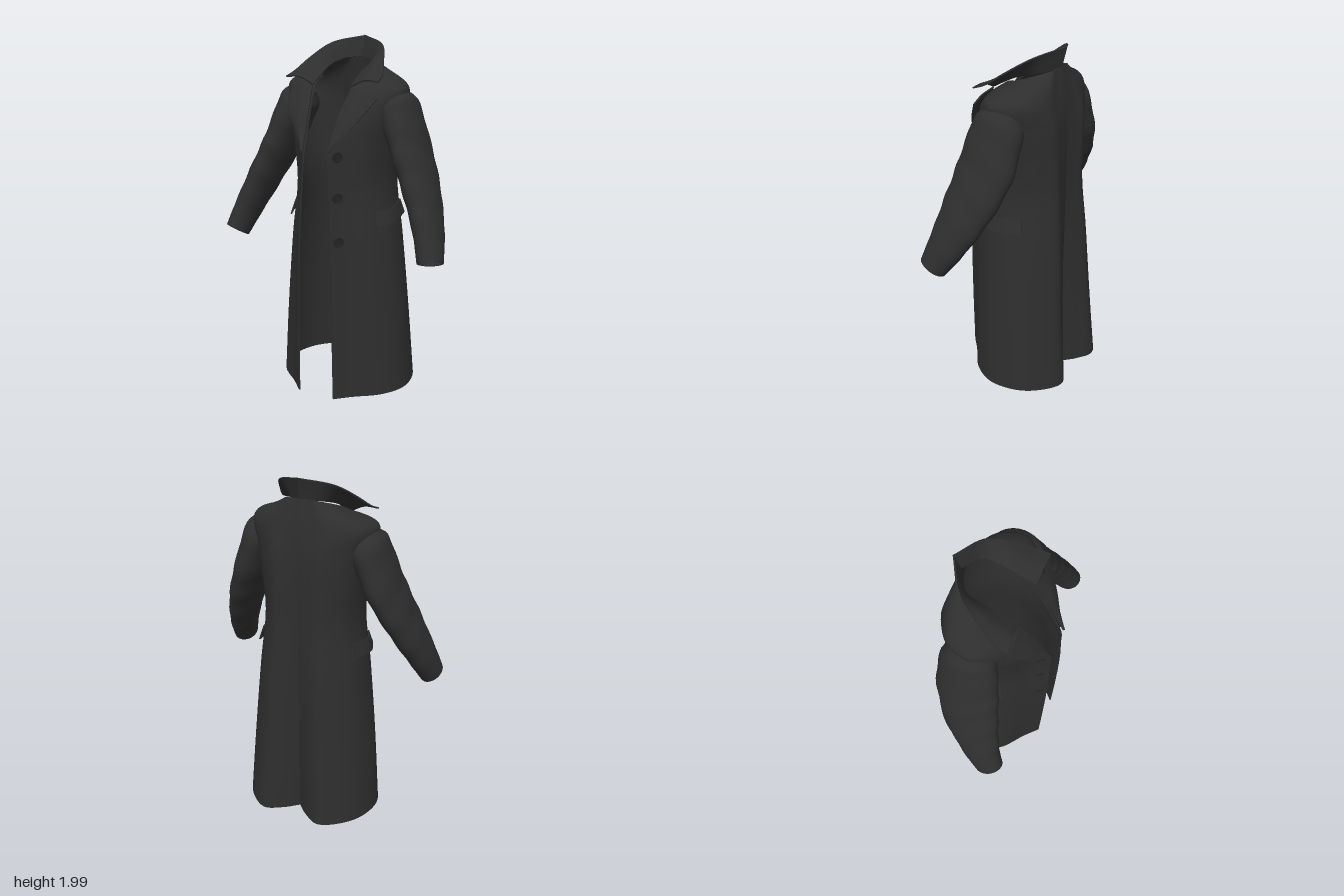
import * as THREE from 'three';
import { mergeGeometries } from 'three/addons/utils/BufferGeometryUtils.js';

const cloth = new THREE.MeshStandardMaterial({ color: 0x2e2e2e, side: THREE.DoubleSide });
cloth.name = 'charcoal cloth';
const horn = new THREE.MeshStandardMaterial({ color: 0x242424 });
horn.name = 'dark horn';

const V = (x, y, z) => new THREE.Vector3(x, y, z);

// Spline through a list of points, resampled to n + 1 points
const resample = (pts, n) => new THREE.CatmullRomCurve3(pts).getPoints(n);

// Smooth grid through control rows
function smoothGrid(rows, nu, nv) {
  const wide = rows.map((r) => resample(r, nu));
  const cols = wide[0].map((_, i) => resample(wide.map((r) => r[i]), nv));
  return Array.from({ length: nv + 1 }, (_, j) => cols.map((c) => c[j]));
}

// Indexed surface over a grid of points
function surface(grid, flip = false) {
  const w = grid[0].length;
  const index = [];
  for (let j = 0; j < grid.length - 1; j++) {
    for (let i = 0; i < w - 1; i++) {
      const a = j * w + i, b = a + 1, c = a + w + 1, d = a + w;
      index.push(...(flip ? [a, c, b, a, d, c] : [a, b, c, a, c, d]));
    }
  }
  const g = new THREE.BufferGeometry().setFromPoints(grid.flat());
  g.setIndex(index);
  g.computeVertexNormals();
  return g;
}

// Cloth of a given thickness: outer face, inner face and the edges between
function clothGeometry(grid, thick) {
  const outer = surface(grid);
  const n = outer.attributes.normal;
  const w = grid[0].length, h = grid.length;
  const back = grid.map((row, j) => row.map((p, i) =>
    p.clone().addScaledVector(V().fromBufferAttribute(n, j * w + i), -thick)));
  const column = (g, i) => g.map((r) => r[i]);
  return mergeGeometries([
    outer, surface(back, true),
    surface([back[0], grid[0]]), surface([grid[h - 1], back[h - 1]]),
    surface([column(grid, 0), column(back, 0)]),
    surface([column(back, w - 1), column(grid, w - 1)]),
  ]);
}

// Mesh from control rows of points; side -1 mirrors it in x
function clothMesh(name, rows, side, nu, nv) {
  const pts = rows.map((r) => {
    const line = r.map((p) => V(p.x * side, p.y, p.z));
    return side < 0 ? line.reverse() : line;
  });
  const mesh = new THREE.Mesh(clothGeometry(smoothGrid(pts, nu, nv), .008), cloth);
  mesh.name = name;
  return mesh;
}

// Half a body section, from the front edge round the side to the centre back:
// height, half width, front edge x and z, chest fullness, back lobe z, back seam z, tilt
function section(y, w, fx, fz, full, bz, cz, tilt = 0) {
  return [
    [fx, fz], [fx + .28 * (w - fx), fz * full], [.83 * w, fz * (full - .34)], [w, 0],
    [.88 * w, .6 * bz], [.46 * w, bz], [.2 * w, .6 * bz + .4 * cz], [0, cz],
  ].map(([x, z]) => V(x, y - tilt * z, z));
}

const bodyRows = [
  section(.008, .4, .115, .347, .78, -.35, -.23),
  section(.45, .365, .11, .35, .78, -.315, -.232),
  section(.9, .32, .1, .348, .77, -.287, -.236),
  section(1.22, .283, .085, .338, .75, -.264, -.24),
  section(1.42, .3, .075, .325, .78, -.26, -.242),
  section(1.6, .33, .09, .235, .92, -.25, -.238),
  section(1.745, .36, .112, .135, .93, -.222, -.226),
  section(1.82, .155, .115, .06, .6, -.19, -.2, .35),
];

// Collar: neck seam and outer edge, with the roll raised between them
const collarSeam = [V(.12, 1.75, .15), V(.116, 1.79, .08), V(.116, 1.83, 0), V(.1, 1.87, -.13), V(0, 1.885, -.2)];
const collarEdge = [V(.285, 1.785, .16), V(.272, 1.812, .09), V(.235, 1.875, 0), V(.16, 1.96, -.13), V(0, 2, -.23)];
const collarRoll = collarSeam.map((p, i) => {
  const m = p.clone().lerp(collarEdge[i], .5);
  return m.setY(m.y + .1 * m.x);
});
const collarRows = [collarSeam, collarRoll, collarEdge];

// Lapel: roll line to outer edge, rising to the peak
const lapelRows = [
  [V(.075, 1.42, .337), V(.09, 1.425, .333)],
  [V(.084, 1.5, .297), V(.142, 1.5, .288)],
  [V(.094, 1.6, .248), V(.208, 1.59, .238)],
  [V(.12, 1.752, .153), V(.28, 1.7, .165)],
].map(([a, b]) => [a, a.clone().lerp(b, .5).add(V(0, .003, .01)), b]);

// Pocket flap hanging from the hip
const flapTop = [V(.262, 1.08, .13), V(.308, 1.088, .02), V(.283, 1.1, -.135)];
const flapRows = [flapTop.map((p) => p.clone().add(V(.02, -.08, .15 * p.z))), flapTop];

// Sleeve stations: centre x, y, z, then the narrow and wide radius
const sleeveStations = [
  [.28, 1.71, -.03, .06, .08], [.315, 1.64, -.025, .105, .145], [.41, 1.41, 0, .094, .168],
  [.505, 1.2, .06, .085, .148], [.585, 1, .14, .075, .11], [.625, .87, .205, .068, .082],
];

function sleeve(side) {
  const centre = new THREE.CatmullRomCurve3(sleeveStations.map((s) => V(s[0], s[1], s[2])));
  const radius = new THREE.CatmullRomCurve3(sleeveStations.map((s) => V(s[3], s[4], 0)));
  const steps = 48, around = 32;
  const grid = [];
  for (let j = 0; j <= steps; j++) {
    const k = j / steps;
    const c = centre.getPoint(k), r = radius.getPoint(k), t = centre.getTangent(k);
    const u = V(-t.y, t.x, 0).normalize();
    const v = t.clone().cross(u);
    const row = [];
    for (let i = 0; i <= around; i++) {
      const a = Math.PI + (i / around) * Math.PI * 2;
      // soft creases round the elbow and upper arm
      const fold = 1 + .022 * Math.sin(k * 42 + Math.sin(a) * 2) * Math.sin(Math.PI * k);
      const p = c.clone().addScaledVector(u, r.x * fold * Math.cos(a)).addScaledVector(v, r.y * fold * Math.sin(a));
      row.push(V(p.x * side, p.y, p.z));
    }
    grid.push(side < 0 ? row.reverse() : row);
  }
  const mesh = new THREE.Mesh(clothGeometry(grid, .008), cloth);
  mesh.name = side > 0 ? 'leftSleeve' : 'rightSleeve';
  return mesh;
}

// Round button with a raised rim, facing +z
function button() {
  const g = new THREE.Group();
  const disc = new THREE.Mesh(new THREE.CylinderGeometry(.027, .027, .01, 20), horn);
  disc.rotation.x = Math.PI / 2;
  disc.name = 'buttonDisc';
  const rim = new THREE.Mesh(new THREE.TorusGeometry(.024, .005, 8, 20), horn);
  rim.position.z = .005;
  rim.name = 'buttonRim';
  g.add(disc, rim);
  g.name = 'button';
  return g;
}

export function createModel() {
  const coat = new THREE.Group();
  coat.name = 'coat';

  for (const side of [1, -1]) {
    const label = side > 0 ? 'left' : 'right';
    coat.add(
      clothMesh(label + 'Body', bodyRows, side, 56, 56),
      clothMesh(label + 'Collar', collarRows, side, 30, 10),
      clothMesh(label + 'Lapel', lapelRows, side, 10, 24),
      clothMesh(label + 'PocketFlap', flapRows, side, 16, 4),
      sleeve(side),
    );
  }

  // Buttons on the left front edge, buttonholes on the right
  for (const [x, y, z] of [[.116, 1.4, .295], [.12, 1.18, .302], [.135, .94, .316]]) {
    const b = button();
    b.position.set(x, y, z);
    b.rotation.y = .88;
    const hole = new THREE.Mesh(new THREE.BoxGeometry(.045, .012, .008), horn);
    hole.position.set(-x, y, z - .004);
    hole.rotation.y = -.88;
    hole.name = 'buttonhole';
    coat.add(b, hole);
  }
  return coat;
}
